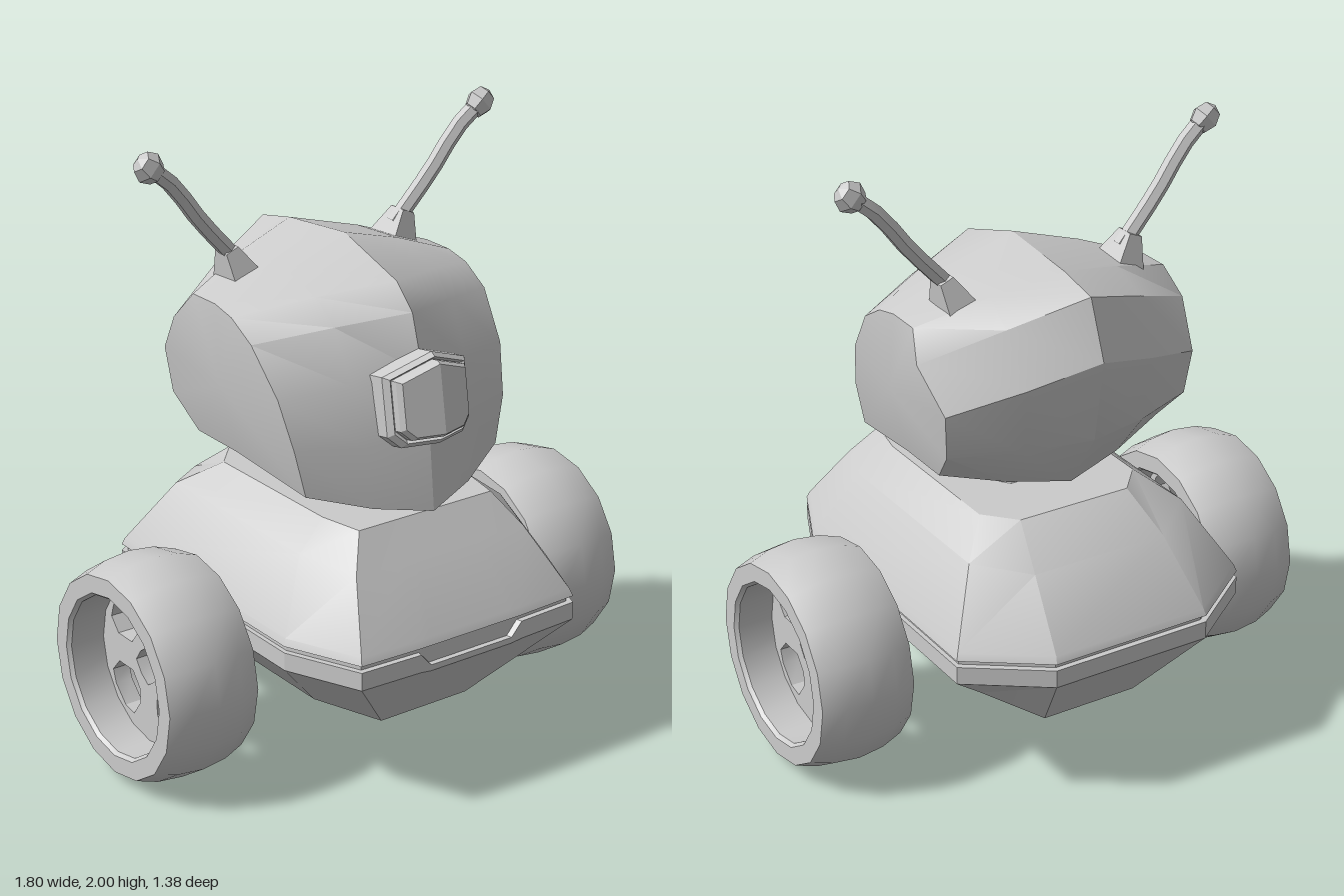
import * as THREE from 'three';
import { toCreasedNormals } from 'three/addons/utils/BufferGeometryUtils.js';

const material = new THREE.MeshStandardMaterial({ color: 0xcccccc });

function part(name, geometry, crease = 0.55) {
  const mesh = new THREE.Mesh(toCreasedNormals(geometry, crease), material);
  mesh.name = name;
  return mesh;
}

// Skins a stack of equal-length rings and closes both ends with a fan.
function loft(rings, firstCentre, lastCentre) {
  const n = rings[0].length;
  const pos = rings.flat(2);
  const index = [];
  const mean = (ring) => [0, 1, 2].map((k) => ring.reduce((s, p) => s + p[k], 0) / n);
  pos.push(...(firstCentre ?? mean(rings[0])), ...(lastCentre ?? mean(rings.at(-1))));
  const first = rings.length * n;
  const top = (rings.length - 1) * n;
  for (let j = 0; j < n; j++) {
    const k = (j + 1) % n;
    for (let r = 0; r < top; r += n) {
      index.push(r + j, r + k, r + n + k, r + j, r + n + k, r + n + j);
    }
    index.push(first, k, j, first + 1, top + j, top + k);
  }
  const geometry = new THREE.BufferGeometry();
  geometry.setAttribute('position', new THREE.Float32BufferAttribute(pos, 3));
  geometry.setIndex(index);
  return geometry;
}

// Full ring from its +x half, listed front to back.
const mirrored = (half) => [...half, ...half.map(([x, y, z]) => [-x, y, z]).reverse()];

function createBody() {
  const body = new THREE.Group();
  body.name = 'body';
  const plan = [[0.16, 0.69], [0.2, 0.69], [0.42, 0.68], [0.53, 0.43], [0.53, -0.51], [0.28, -0.69]];
  const rim = (y, scale = 1, notchY = y) =>
    mirrored(plan.map(([x, z], i) => [x * scale, i === 0 ? notchY : y, z * scale]));

  // Lower hull with a rim band that dips at the front
  body.add(part('lowerHull', loft([
    mirrored([[0.06, 0.18, 0.45], [0.1, 0.18, 0.45], [0.17, 0.18, 0.45],
      [0.29, 0.21, 0.25], [0.29, 0.21, -0.25], [0.17, 0.18, -0.45]]),
    rim(0.46, 1, 0.455), rim(0.52, 1, 0.475), rim(0.52, 0.97, 0.475),
  ]), 0.4));
  body.add(part('rimGroove', loft([rim(0.47, 0.972), rim(0.56, 0.972)]), 0.4));

  // Upper shell
  body.add(part('upperShell', loft([
    rim(0.54, 0.97), rim(0.542), rim(0.565, 0.985),
    mirrored([[0.1, 0.76, 0.53], [0.15, 0.76, 0.53], [0.33, 0.76, 0.53],
      [0.4, 0.78, 0.33], [0.4, 0.78, -0.37], [0.24, 0.755, -0.5]]),
    mirrored([[0.08, 0.867, 0.45], [0.12, 0.867, 0.45], [0.26, 0.867, 0.45],
      [0.29, 0.867, 0.3], [0.29, 0.867, -0.25], [0.2, 0.867, -0.35]]),
  ]), 0.45));

  // Neck
  body.add(part('neck', loft([
    mirrored([[0.1, 0.85, 0.28], [0.16, 0.85, 0.18], [0.16, 0.85, -0.06], [0.1, 0.85, -0.14]]),
    mirrored([[0.08, 0.96, 0.18], [0.15, 0.96, 0.12], [0.15, 0.96, 0], [0.08, 0.96, -0.06]]),
  ]), 0.3));
  return body;
}

function createHead() {
  const head = new THREE.Group();
  head.name = 'head';
  // Centre profile as [z, y], and the matching edge of the side panel as [x, y, z]
  const centre = [[0.49, 0.88], [0.465, 1.12], [0.425, 1.32], [0.37, 1.5], [0.29, 1.58], [0.02, 1.667],
    [-0.28, 1.64], [-0.43, 1.61], [-0.505, 1.42], [-0.46, 1.14], [-0.33, 0.94], [0.05, 0.91]]
    .map(([z, y]) => [0, y, z]).reverse();
  const side = [[0.375, 0.965, 0.33], [0.41, 1.12, 0.32], [0.435, 1.28, 0.27], [0.455, 1.43, 0.16],
    [0.458, 1.49, 0.06], [0.458, 1.51, -0.03], [0.46, 1.51, -0.15], [0.488, 1.42, -0.22],
    [0.455, 1.28, -0.33], [0.44, 1.13, -0.31], [0.41, 1.02, -0.21], [0.4, 1.01, 0]].reverse();
  // Halfway ring, swollen slightly away from the head's middle
  const middle = side.map(([x, y, z], i) => {
    const my = (y + centre[i][1]) / 2;
    const mz = (z + centre[i][2]) / 2;
    return [x * 0.5, 1.25 + (my - 1.25) * 1.03, mz * 1.04];
  });
  const flip = (ring) => ring.map(([x, y, z]) => [-x, y, z]);
  head.add(part('skull', loft(
    [flip(side), flip(middle), centre, middle, side], [-0.465, 1.25, 0], [0.465, 1.25, 0]), 0.5));

  // Eye: a six-sided frame and lens, folded back on both sides of the middle
  const hex = (s, depth) => [[0, -0.145], [0.12, -0.14], [0.16, -0.1], [0.16, 0.09], [0, 0.145],
    [-0.16, 0.09], [-0.16, -0.1], [-0.12, -0.14]]
    .map(([x, y]) => [x * s, y * s, depth - Math.abs(x * s) * 0.3]);
  const eye = new THREE.Group();
  eye.name = 'eye';
  eye.position.set(0, 1.25, 0.43);
  eye.rotation.x = -0.16;
  eye.add(part('eyeFrame', loft(
    [hex(1, -0.05), hex(1, 0.06), hex(0.9, 0.075), hex(0.84, 0.06)], undefined, [0, 0, 0.06]), 0.2));
  eye.add(part('eyeLens', loft(
    [hex(0.83, 0.03), hex(0.83, 0.085), hex(0.76, 0.1)], undefined, [0, 0, 0.1]), 0.2));
  head.add(eye);
  return head;
}

function createAntenna(s) {
  const antenna = new THREE.Group();
  antenna.name = s > 0 ? 'leftAntenna' : 'rightAntenna';
  // Tapered foot
  const foot = part('antennaFoot', new THREE.CylinderGeometry(0.045, 0.095, 0.1, 4).rotateY(Math.PI / 4), 0.2);
  foot.position.set(s * 0.325, 1.595, -0.13);
  foot.rotation.z = -s * 0.4;
  foot.scale.x = 0.75;
  // Bent rod
  const path = new THREE.CatmullRomCurve3([[0.31, 1.6, -0.13], [0.45, 1.755, -0.12],
    [0.55, 1.885, -0.112], [0.62, 1.945, -0.105]].map(([x, y, z]) => new THREE.Vector3(s * x, y, z)));
  const rod = part('antennaRod', new THREE.TubeGeometry(path, 6, 0.028, 6), 0.3);
  // Faceted tip
  const tip = part('antennaTip', new THREE.SphereGeometry(0.052, 6, 4), 0.2);
  tip.position.set(s * 0.637, 1.957, -0.105);
  tip.rotation.z = -s * 0.85;
  tip.scale.z = 0.8;
  antenna.add(foot, rod, tip);
  return antenna;
}

function createWheel(s) {
  const wheel = new THREE.Group();
  wheel.name = s > 0 ? 'leftWheel' : 'rightWheel';
  wheel.position.set(s * 0.7375, 0.375, 0.015);

  // Rounded tyre, open through the middle
  const profile = [[0.265, -0.15], [0.275, -0.163], [0.335, -0.163], [0.36, -0.09], [0.37, 0],
    [0.36, 0.09], [0.335, 0.163], [0.275, 0.163], [0.265, 0.15], [0.265, -0.15]]
    .map(([r, x]) => new THREE.Vector2(r, x));
  wheel.add(part('tyre', new THREE.LatheGeometry(profile, 16).rotateZ(-Math.PI / 2), 0.6));

  // Hub disc with four cut-outs and a centre hole
  const disc = new THREE.Shape().absarc(0, 0, 0.268, 0, Math.PI * 2);
  const cutOut = [[0.05, 0.1], [0.09, 0.05], [0.17, 0.05], [0.21, 0.095], [0.195, 0.14],
    [0.14, 0.195], [0.09, 0.205], [0.05, 0.15]];
  for (const sx of [1, -1]) {
    for (const sy of [1, -1]) {
      disc.holes.push(new THREE.Path(cutOut.map(([x, y]) => new THREE.Vector2(x * sx, y * sy))));
    }
  }
  disc.holes.push(new THREE.Path([...Array(8)].map((_, i) => {
    const r = i % 2 ? 0.055 : 0.066;
    return new THREE.Vector2(r * Math.cos(i * Math.PI / 4), r * Math.sin(i * Math.PI / 4));
  })));
  const hub = new THREE.ExtrudeGeometry(disc, { depth: 0.06, bevelEnabled: false, curveSegments: 8 });
  wheel.add(part('hub', hub.translate(0, 0, -0.03).rotateY(Math.PI / 2)));
  return wheel;
}

export function createModel() {
  const model = new THREE.Group();
  model.name = 'robot';
  model.add(createBody(), createHead());
  for (const s of [1, -1]) model.add(createAntenna(s), createWheel(s));
  return model;
}
